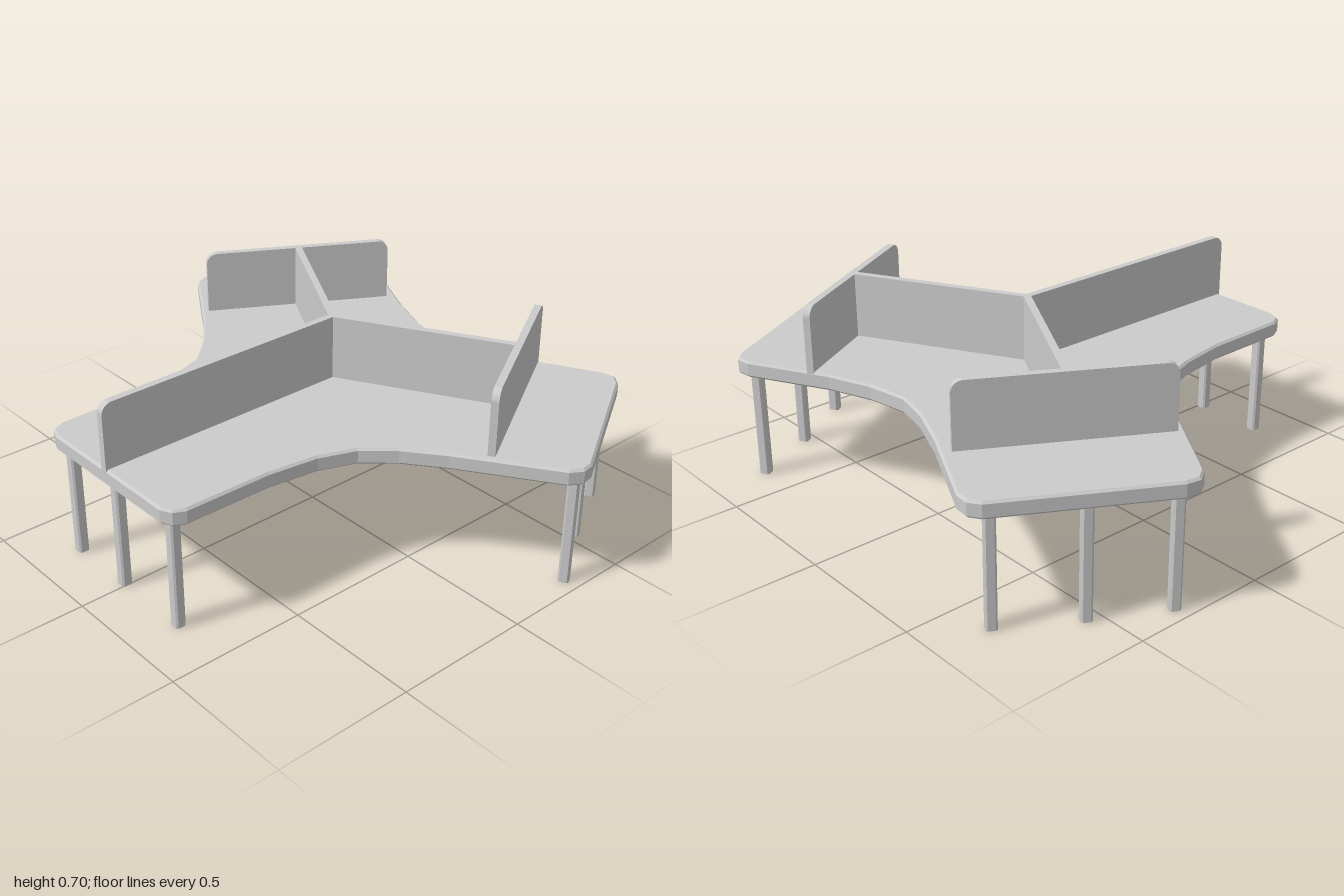
import * as THREE from 'three';

const material = new THREE.MeshStandardMaterial({ color: 0xcccccc });
const TOP_Y = 0.47, UNDER_Y = 0.41, SCREEN_TOP = 0.705;
const SCREEN_THICK = 0.026;

function add(group, name, geometry) {
  const mesh = new THREE.Mesh(geometry, material);
  mesh.name = name;
  group.add(mesh);
  return mesh;
}

// Three-winged worktop with concave sides and a small edge chamfer
function worktopGeometry() {
  const outline = [
    [-0.29, 0.87], [0.29, 0.87], [0.33, 0.85], [0.35, 0.81], [0.355, 0.49], [0.38, 0.31],
    [0.43, 0.18], [0.52, 0.08], [0.65, -0.02], [0.97, -0.23], [0.997, -0.275], [0.99, -0.32],
    [0.70, -0.82], [0.66, -0.853], [0.61, -0.845], [0.33, -0.695], [0.17, -0.635], [0.02, -0.61],
    [-0.11, -0.64], [-0.28, -0.71], [-0.60, -0.873], [-0.65, -0.877], [-0.69, -0.85],
    [-0.99, -0.325], [-0.999, -0.275], [-0.97, -0.23], [-0.67, -0.03], [-0.53, 0.08],
    [-0.435, 0.18], [-0.39, 0.31], [-0.36, 0.49], [-0.355, 0.81], [-0.335, 0.85],
  ];
  const shape = new THREE.Shape(outline.map(([x, z]) => new THREE.Vector2(x, z)));
  const bevel = 0.008;
  const geometry = new THREE.ExtrudeGeometry(shape, {
    depth: TOP_Y - UNDER_Y - 2 * bevel, bevelSize: bevel, bevelThickness: bevel,
    bevelOffset: -bevel, bevelSegments: 1,
  });
  return geometry.rotateX(Math.PI / 2).translate(0, TOP_Y - bevel, 0);
}

// Upright panel between two plan points; r0 and r1 round its top corners
function addScreen(group, name, [x0, z0], [x1, z1], r0, r1) {
  const length = Math.hypot(x1 - x0, z1 - z0);
  const height = SCREEN_TOP - TOP_Y;
  const shape = new THREE.Shape();
  shape.moveTo(0, -0.01);
  shape.lineTo(length, -0.01);
  shape.lineTo(length, height - r1);
  if (r1) shape.absarc(length - r1, height - r1, r1, 0, Math.PI / 2);
  else shape.lineTo(length, height);
  shape.lineTo(r0, height);
  if (r0) shape.absarc(r0, height - r0, r0, Math.PI / 2, Math.PI);
  const geometry = new THREE.ExtrudeGeometry(shape, {
    depth: SCREEN_THICK, bevelEnabled: false, curveSegments: 5,
  }).translate(0, 0, -SCREEN_THICK / 2);
  const mesh = add(group, name, geometry);
  mesh.position.set(x0, TOP_Y, z0);
  mesh.rotation.y = Math.atan2(z0 - z1, x1 - x0);
}

// Square post with chamfered corners
function legGeometry() {
  const h = 0.019, c = 0.006;
  const corners = [
    [-h + c, -h], [h - c, -h], [h, -h + c], [h, h - c],
    [h - c, h], [-h + c, h], [-h, h - c], [-h, -h + c],
  ];
  const shape = new THREE.Shape(corners.map(([x, y]) => new THREE.Vector2(x, y)));
  const depth = UNDER_Y + 0.005;
  return new THREE.ExtrudeGeometry(shape, { depth, bevelEnabled: false })
    .rotateX(Math.PI / 2).translate(0, depth, 0);
}

export function createModel() {
  const model = new THREE.Group();
  model.name = 'sharedDesk';

  add(model, 'worktop', worktopGeometry());

  // Divider screens: three spokes from the hub, two of them ending in cross panels
  const screens = new THREE.Group();
  screens.name = 'dividerScreens';
  const hub = [-0.008, -0.098];
  addScreen(screens, 'frontScreen', hub, [-0.008, 0.87], 0, 0.04);
  addScreen(screens, 'leftScreen', hub, [0.565, -0.415], 0, 0);
  addScreen(screens, 'rightScreen', hub, [-0.55, -0.408], 0, 0);
  addScreen(screens, 'leftCrossScreen', [0.393, -0.728], [0.747, -0.11], 0.04, 0.04);
  addScreen(screens, 'rightCrossScreen', [-0.378, -0.718], [-0.732, -0.102], 0.04, 0.04);
  model.add(screens);

  // Three legs under the end of each wing, turned to follow the wing
  const wings = [
    ['frontLeg', 0, [[-0.275, 0.82], [-0.015, 0.82], [0.285, 0.82]]],
    ['leftLeg', Math.PI / 6, [[0.94, -0.30], [0.785, -0.54], [0.655, -0.785]]],
    ['rightLeg', -Math.PI / 6, [[-0.94, -0.305], [-0.805, -0.55], [-0.65, -0.795]]],
  ];
  const leg = legGeometry();
  for (const [name, turn, spots] of wings) {
    for (const [x, z] of spots) {
      const mesh = add(model, name, leg);
      mesh.position.set(x, 0, z);
      mesh.rotation.y = turn;
    }
  }
  return model;
}
